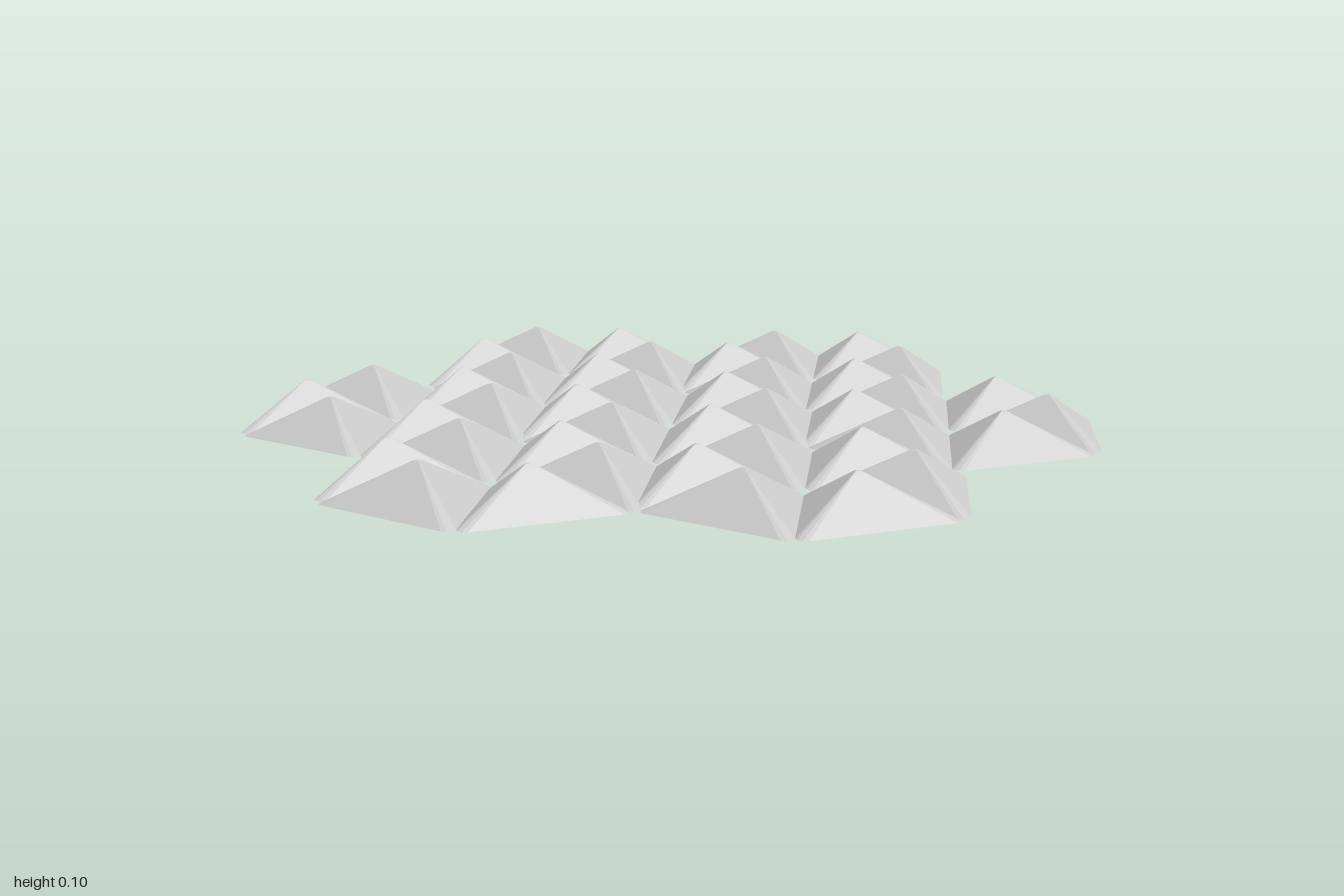
import * as THREE from 'three';

const EDGE = 0.387;              // side of one triangular tile
const HEIGHT = 0.097;
const CORNER = 0.018;            // rounding of the tile corners
const INRADIUS = EDGE / (2 * Math.sqrt(3));

// Outline of a rounded triangle centred on the origin, one corner towards -z
function tileOutline(steps = 3) {
  const pts = [];
  const reach = 2 * (INRADIUS - CORNER);
  for (let c = 0; c < 3; c++) {
    const dir = -Math.PI / 2 + c * 2 * Math.PI / 3;
    for (let s = 0; s <= steps; s++) {
      const a = dir + (s / steps - 0.5) * 2 * Math.PI / 3;
      pts.push([
        reach * Math.cos(dir) + CORNER * Math.cos(a),
        reach * Math.sin(dir) + CORNER * Math.sin(a),
      ]);
    }
  }
  return pts;
}

// Hollow low pyramid: outline rings shrinking to a slightly blunted peak
function pyramidGeometry() {
  const outline = tileOutline();
  const n = outline.length;
  const rings = [[1, 0], [0.09, HEIGHT * 0.93], [0.04, HEIGHT * 0.98]];
  const pos = [], index = [];
  for (const [scale, y] of rings) {
    for (const [x, z] of outline) pos.push(x * scale, y, z * scale);
  }
  pos.push(0, HEIGHT, 0);
  const peak = rings.length * n;
  for (let r = 0; r < rings.length; r++) {
    for (let i = 0; i < n; i++) {
      const j = (i + 1) % n;
      const a = r * n + i, b = r * n + j;
      if (r === rings.length - 1) index.push(a, peak, b);
      else index.push(a, a + n, b, b, a + n, b + n);
    }
  }
  const geo = new THREE.BufferGeometry();
  geo.setAttribute('position', new THREE.Float32BufferAttribute(pos, 3));
  geo.setIndex(index);
  geo.computeVertexNormals();
  return geo;
}

export function createModel() {
  const model = new THREE.Group();
  model.name = 'pyramidTilePanel';
  const material = new THREE.MeshStandardMaterial({
    color: 0xcccccc, flatShading: true, side: THREE.DoubleSide,
  });
  const geometry = pyramidGeometry();

  // Six pyramids around a shared point make one hexagon
  function hexagon(x, z) {
    const hex = new THREE.Group();
    hex.name = 'hexagon';
    for (let k = 0; k < 6; k++) {
      const spoke = new THREE.Group();
      spoke.name = 'spoke';
      spoke.rotation.y = k * Math.PI / 3;
      const tile = new THREE.Mesh(geometry, material);
      tile.name = 'pyramidTile';
      tile.position.z = 2 * INRADIUS;
      spoke.add(tile);
      hex.add(spoke);
    }
    hex.position.set(x, 0, z);
    model.add(hex);
  }

  // Centre hexagon with six neighbours in opposite pairs
  hexagon(0, 0);
  for (const [x, z] of [[0.03, 0.665], [0.587, 0.33], [0.557, -0.335]]) {
    hexagon(x, z);
    hexagon(-x, -z);
  }
  return model;
}
